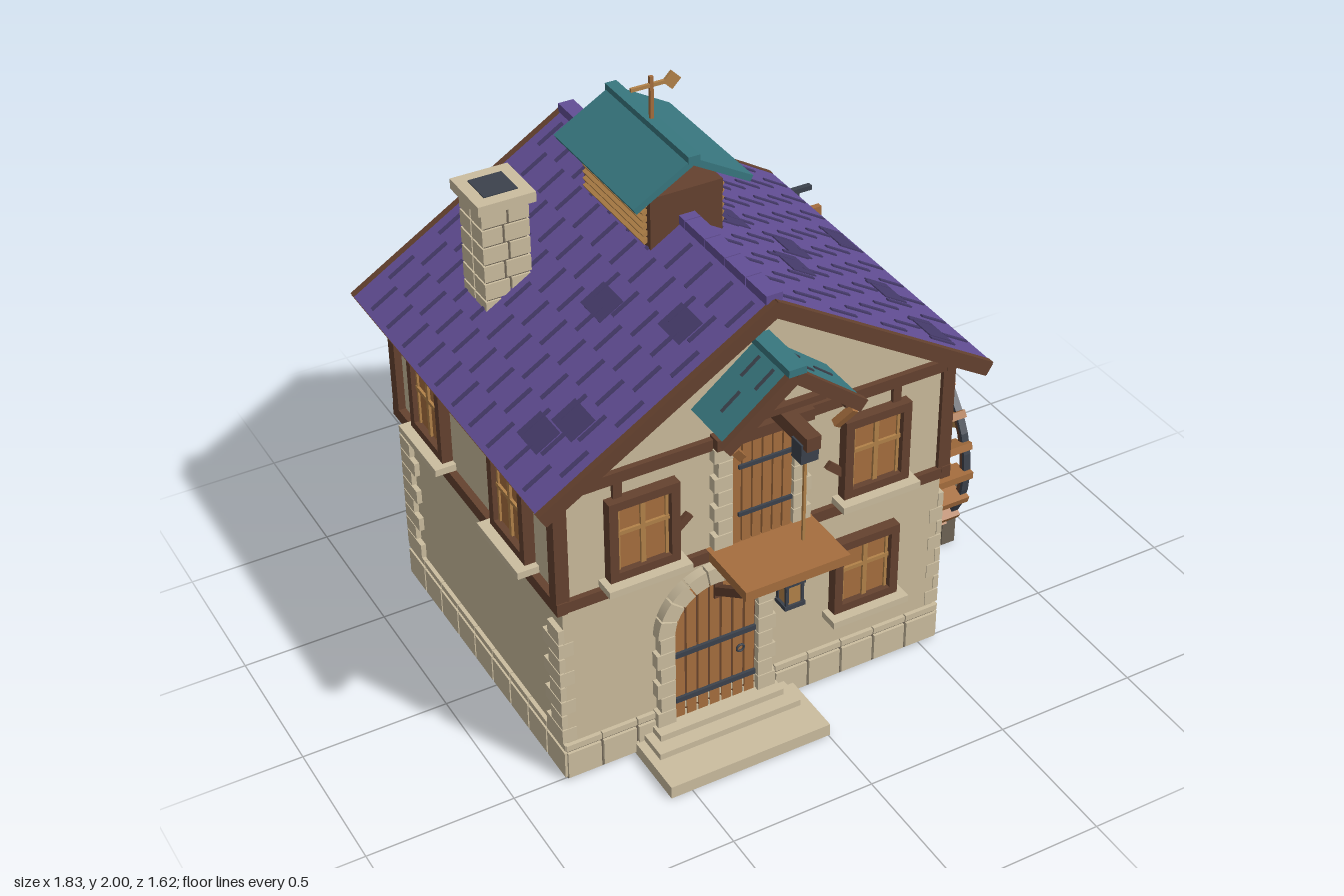
import * as THREE from 'three';

const mat = (name, color) => Object.assign(new THREE.MeshStandardMaterial({ color }), { name });
const M = {
  plaster: mat('plaster', 0xcabb9b), stone: mat('pale stone', 0xcbbd9f), dark: mat('dark timber', 0x65422f),
  wood: mat('brown wood', 0xa66e3e), gold: mat('golden wood', 0xb28249), roof: mat('purple shingle', 0x624e95),
  shade: mat('dark shingle', 0x463b6b), teal: mat('teal', 0x38777f), iron: mat('iron', 0x3c424c), grey: mat('grey stone', 0x6e6455),
};
const C = -0.127, ZC = -0.08, HW = 0.68, HD = 0.58, ZF = ZC + HD; // house centre and half sizes

function add(p, name, m, geo, x = 0, y = 0, z = 0) {
  const mesh = new THREE.Mesh(geo, m);
  mesh.name = name;
  mesh.position.set(x, y, z);
  p.add(mesh);
  return mesh;
}
const box = (p, name, m, w, h, d, x, y, z) => add(p, name, m, new THREE.BoxGeometry(w, h, d), x, y, z);
// box given by its limits
const span = (p, name, m, x0, x1, y0, y1, z0, z1) =>
  box(p, name, m, x1 - x0, y1 - y0, z1 - z0, (x0 + x1) / 2, (y0 + y1) / 2, (z0 + z1) / 2);
// square beam between two points
function beam(p, name, m, a, b, w, d = w) {
  const A = new THREE.Vector3(...a), B = new THREE.Vector3(...b);
  const mesh = box(p, name, m, w, A.distanceTo(B), d, ...A.clone().add(B).multiplyScalar(0.5).toArray());
  mesh.quaternion.setFromUnitVectors(new THREE.Vector3(0, 1, 0), B.sub(A).normalize());
  return mesh;
}
function group(p, name, x = 0, y = 0, z = 0, ry = 0) {
  const g = new THREE.Group();
  g.name = name;
  g.position.set(x, y, z);
  g.rotation.y = ry;
  p.add(g);
  return g;
}
const extrude = (s, depth) => new THREE.ExtrudeGeometry(s, { depth, bevelEnabled: false, curveSegments: 16 });
// ring or ring sector in the xy plane
function sector(r0, r1, a0, a1, depth) {
  const s = new THREE.Shape();
  s.absarc(0, 0, r1, a0, a1, false);
  s.absarc(0, 0, r0, a1, a0, true);
  return extrude(s, depth);
}

function windowUnit(p, x, y, z, ry, h = 0.295) {
  const g = group(p, 'window', x, y, z, ry), w = 0.24;
  box(g, 'pane', M.wood, w - 0.04, h - 0.04, 0.02, 0, 0, 0.005);
  for (const s of [-1, 1]) {
    box(g, 'frameSide', M.dark, 0.03, h, 0.045, s * (w / 2 - 0.015), 0, 0.015);
    box(g, 'frameRail', M.dark, w, 0.03, 0.045, 0, s * (h / 2 - 0.015), 0.015);
    box(g, 'sash', M.gold, 0.01, h - 0.06, 0.02, s * 0.082, 0, 0.012);
  }
  box(g, 'mullion', M.gold, 0.016, h - 0.06, 0.024, 0, 0, 0.012);
  box(g, 'transom', M.gold, w - 0.06, 0.014, 0.024, 0, 0.02, 0.012);
  box(g, 'sill', M.stone, 0.285, 0.025, 0.075, 0, -h / 2 - 0.0125, 0.035);
}

function walls(g) {
  const s = new THREE.Shape([[-HW, 0.05], [HW, 0.05], [HW, 1.14], [0, 1.56], [-HW, 1.14]].map(a => new THREE.Vector2(...a)));
  add(g, 'walls', M.plaster, extrude(s, HD * 2), C, 0, ZC - HD);
  // plinth with facing stones
  span(g, 'plinth', M.grey, C - HW - 0.006, C + HW + 0.006, 0, 0.135, ZC - HD - 0.006, ZF + 0.006);
  for (const ry of [0, 1, 2, 3]) {
    const [hw, hd] = ry % 2 ? [HD, HW] : [HW, HD], side = group(g, 'plinthSide', C, 0, ZC, ry * Math.PI / 2);
    const n = ry % 2 ? 9 : 11, w = 2 * (hw + 0.012) / n;
    for (let i = 0; i < n; i++) {
      const x = -hw - 0.012 + w * (i + 0.5);
      box(side, 'plinthStone', M.stone, w - 0.009, 0.1, 0.014, x, 0.06, hd + 0.009);
      box(side, 'plinthCap', M.stone, w - 0.004, 0.022, 0.014, x, 0.131, hd + 0.007);
    }
  }
  // corner stones on the two long sides
  for (const sx of [-1, 1]) for (const sz of [-1, 1]) for (let i = 0; i < 8; i++) {
    const d = i % 2 ? 0.075 : 0.11, w = i % 2 ? 0.02 : 0.05;
    box(g, 'cornerStone', M.stone, w, 0.052, d, C + sx * (HW + 0.018 - w / 2), 0.175 + i * 0.0575, ZC + sz * (HD + 0.003 - d / 2));
  }
}

function timber(g) {
  for (const sx of [-1, 1]) {
    for (const y of [0.7, 1.12]) box(g, 'sideBeam', M.dark, 0.035, 0.045, HD * 2 + 0.04, C + sx * (HW + 0.008), y, ZC);
    for (const sz of [-1, 1]) box(g, 'cornerPost', M.dark, 0.045, 0.44, 0.045, C + sx * (HW + 0.003), 0.91, ZC + sz * (HD - 0.007));
  }
  for (const sz of [-1, 1]) {
    const z = ZC + sz * (HD + 0.004);
    for (const y of [0.7, 1.12]) box(g, 'endBeam', M.dark, HW * 2 + 0.05, 0.04, 0.03, C, y, z);
    for (const sx of [-1, 1]) {
      box(g, 'stud', M.dark, 0.03, 0.4, 0.02, C + sx * (sz > 0 ? 0.49 : 0.42), 0.91, z);
      beam(g, 'brace', M.dark, [C + sx * (sz > 0 ? 0.31 : 0.38), sz > 0 ? 0.827 : 0.765, z], [C + sx * 0.245, 0.885, z], 0.028, 0.022);
    }
  }
}

function roof(g) {
  const A = 0.549, L = 0.92, D = 1.353;
  for (const s of [-1, 1]) {
    const r = group(g, 'roofSlope', C, 1.615, ZC);
    r.rotation.z = -s * A;
    box(r, 'shingles', M.roof, L, 0.03, D - 0.044, s * L / 2, -0.013, 0);
    box(r, 'roofDeck', M.dark, L, 0.012, D - 0.044, s * L / 2, -0.034, 0);
    for (const e of [-1, 1]) box(r, 'rakeBoard', M.dark, L, 0.05, 0.024, s * L / 2, -0.021, e * (D / 2 - 0.012));
    box(r, 'eaveBoard', M.dark, 0.02, 0.04, D, s * (L - 0.008), -0.022, 0);
    // staggered joints between shingles
    for (let i = 0; i < 8; i++) for (let k = 0; k < 11; k++) {
      const z = -0.6 + k * 0.121 + (i % 2) * 0.0605;
      if (z < 0.64) box(r, 'shingleJoint', M.shade, 0.106, 0.012, 0.014, s * (0.1 + i * 0.107), 0.001, z);
    }
    // odd darker shingles
    const spots = s > 0 ? [[0.27, 0], [0.45, 0.12], [0.35, 0.28], [0.75, 0.28], [0.75, 0.53], [0.85, -0.13]]
      : [[0.36, 0.17], [0.24, 0.47], [0.66, 0.47], [0.76, 0.41]];
    for (const [u, z] of spots) box(r, 'darkShingle', M.shade, 0.095, 0.01, 0.125, s * u, 0.001, z);
    for (const z of [0.365, ZC, -0.525])
      beam(g, 'eaveBracket', M.wood, [C + s * 0.71, 1.05, z], [C + s * 0.765, 1.125, z], 0.025);
  }
  for (let i = 0; i < 11; i++)
    box(g, 'ridgeTile', M.roof, 0.055, 0.03, 0.116, C, 1.62, ZC - 0.6 + i * 0.12);
}

function chimney(g) {
  const c = group(g, 'chimney', -0.59, 0, -0.315);
  span(c, 'stack', M.grey, -0.073, 0.073, 1.18, 1.64, -0.073, 0.073);
  for (let i = 0; i < 7; i++) for (const s of [-1, 1]) {
    const w = 0.076 + s * (i % 2 ? 0.008 : -0.008);
    for (const e of [-1, 1])
      box(c, 'chimneyStone', M.stone, w, 0.056, 0.076, s * (0.08 - w / 2), 1.225 + i * 0.064, e * 0.042);
  }
  box(c, 'cap', M.stone, 0.195, 0.035, 0.2, 0, 1.657, 0);
  box(c, 'flue', M.iron, 0.115, 0.008, 0.115, 0, 1.674, 0);
}

// simple two-slope roof with its ridge along z
function smallRoof(p, name, m, x, y, z, run, drop, t, depth) {
  const g = group(p, name, x, y, z), len = Math.hypot(run, drop);
  for (const s of [-1, 1])
    box(g, 'slope', m, len, t, depth, s * run / 2, -drop / 2, 0).rotation.z = -s * Math.atan2(drop, run);
}

function cupola(g) {
  const c = group(g, 'cupola', C, 0, -0.152);
  box(c, 'louverBox', M.dark, 0.25, 0.22, 0.43, 0, 1.61, 0);
  for (const s of [-1, 1]) for (let i = 0; i < 6; i++)
    box(c, 'louver', M.gold, 0.026, 0.014, 0.39, s * 0.128, 1.565 + i * 0.025, 0).rotation.z = -s * 0.5;
  smallRoof(c, 'cupolaRoof', M.teal, 0, 1.835, 0, 0.2, 0.115, 0.022, 0.52);
  box(c, 'cupolaRidge', M.teal, 0.04, 0.025, 0.53, 0, 1.845, 0);
  // weathervane
  box(c, 'vanePole', M.wood, 0.012, 0.16, 0.012, 0, 1.92, 0);
  box(c, 'vaneArm', M.gold, 0.14, 0.012, 0.01, 0, 1.97, 0);
  box(c, 'vaneHead', M.gold, 0.044, 0.044, 0.01, 0.07, 1.97, 0).rotation.z = Math.PI / 4;
}

function frontDoor(g) {
  const d = group(g, 'frontDoor', -0.29, 0, ZF), spring = 0.45, R = 0.15;
  for (let i = 0; i < 7; i++) {
    const x = (i - 3) * 0.042, top = spring + Math.sqrt(0.158 ** 2 - x * x);
    span(d, 'plank', M.wood, x - 0.017, x + 0.017, 0.09, top, 0, 0.018);
  }
  const s = new THREE.Shape();
  s.moveTo(-R, 0.09); s.lineTo(R, 0.09); s.lineTo(R, spring);
  s.absarc(0, spring, R, 0, Math.PI, false);
  add(d, 'doorBacking', M.dark, extrude(s, 0.01));
  for (const y of [0.17, 0.355]) box(d, 'strapHinge', M.iron, 0.29, 0.018, 0.012, 0, y, 0.022);
  add(d, 'doorRing', M.iron, new THREE.TorusGeometry(0.013, 0.004, 6, 12), 0.09, 0.29, 0.024);
  // stone surround
  for (let i = 0; i < 9; i++) {
    const a = Math.PI / 9;
    add(d, 'archStone', M.stone, sector(R, 0.21, i * a + 0.015, (i + 1) * a - 0.015, 0.035), 0, spring, 0);
  }
  for (const k of [-1, 1]) for (let i = 0; i < 6; i++) {
    const w = i % 2 ? 0.052 : 0.064;
    box(d, 'jambStone', M.stone, w, 0.056, 0.035, k * (R + w / 2), 0.12 + i * 0.06, 0.017);
  }
  // steps
  span(g, 'stepLow', M.stone, -0.575, 0.005, 0, 0.045, 0.48, 0.745);
  span(g, 'stepMiddle', M.stone, -0.545, -0.03, 0.04, 0.068, 0.48, 0.62);
  span(g, 'stepTop', M.stone, -0.515, -0.065, 0.06, 0.092, 0.48, 0.57);
  // lantern
  const l = group(g, 'lantern', -0.035, 0.48, 0.55);
  box(l, 'glass', M.gold, 0.056, 0.08, 0.05, 0, 0, 0);
  for (const y of [-0.045, 0.045]) box(l, 'lanternPlate', M.iron, 0.075, 0.016, 0.065, 0, y, 0);
  for (const x of [-1, 1]) for (const z of [-1, 1]) box(l, 'lanternBar', M.iron, 0.01, 0.09, 0.01, x * 0.028, 0, z * 0.025);
  box(l, 'lanternHook', M.iron, 0.012, 0.03, 0.012, 0, 0.06, 0);
  box(l, 'lanternArm', M.iron, 0.012, 0.012, 0.06, 0, 0.075, -0.025);
}

function loft(g) {
  const d = group(g, 'loftDoor', C, 0, ZF);
  span(d, 'doorBacking', M.dark, -0.11, 0.11, 0.72, 1.12, 0, 0.012);
  for (let i = 0; i < 6; i++) box(d, 'plank', M.wood, 0.03, 0.39, 0.02, (i - 2.5) * 0.036, 0.915, 0.012);
  for (const y of [0.83, 1.01]) box(d, 'strapHinge', M.iron, 0.19, 0.014, 0.01, 0.01, y, 0.025);
  box(d, 'lintel', M.dark, 0.34, 0.04, 0.05, 0, 1.13, 0.02);
  for (const s of [-1, 1]) {
    for (let i = 0; i < 7; i++) {
      const w = i % 2 ? 0.05 : 0.064;
      box(d, 'jambStone', M.stone, w, 0.051, 0.035, s * (0.108 + w / 2), 0.752 + i * 0.055, 0.015);
    }
    // landing brackets
    box(d, 'bracketPost', M.dark, 0.03, 0.16, 0.025, s * 0.152, 0.61, 0.012);
    beam(d, 'bracket', M.dark, [s * 0.152, 0.55, 0.01], [s * 0.152, 0.675, 0.2], 0.028);
  }
  span(d, 'landing', M.wood, -0.185, 0.185, 0.685, 0.72, 0, 0.245);
  // hoist canopy
  smallRoof(d, 'canopyRoof', M.teal, 0, 1.435, 0.095, 0.228, 0.18, 0.02, 0.19);
  smallRoof(d, 'canopyRafters', M.dark, 0, 1.425, 0.2, 0.235, 0.185, 0.042, 0.025);
  for (const s of [-1, 1]) {
    box(d, 'canopyPlate', M.dark, 0.03, 0.03, 0.19, s * 0.2, 1.25, 0.095);
    beam(d, 'canopyBrace', M.wood, [s * 0.163, 1.175, 0.17], [s * 0.207, 1.235, 0.2], 0.025);
    for (const [u, e] of [[0.06, 0.06], [0.06, 0.14], [0.15, 0.1]])
      box(d, 'slateJoint', M.iron, 0.08, 0.008, 0.01, s * (u + 0.007), 1.443 - u * 0.79, e).rotation.z = -s * 0.668;
  }
  box(d, 'canopyRidge', M.teal, 0.06, 0.025, 0.215, 0, 1.445, 0.107);
  box(d, 'canopyTie', M.dark, 0.24, 0.022, 0.025, 0, 1.3, 0.17);
  span(d, 'hoistBeam', M.dark, -0.024, 0.024, 1.225, 1.272, 0, 0.31);
  box(d, 'pulley', M.iron, 0.06, 0.07, 0.055, 0, 1.205, 0.262);
  box(d, 'rope', M.gold, 0.009, 0.31, 0.009, 0, 1.02, 0.263);
}

function backWindow(g) {
  const w = group(g, 'roundWindow', C, 1.34, ZC - HD, Math.PI);
  add(w, 'pane', M.teal, extrude(new THREE.Shape().absarc(0, 0, 0.1, 0, Math.PI * 2, false), 0.012));
  for (let i = 0; i < 12; i++) add(w, 'ringStone', M.stone, sector(0.092, 0.13, i * Math.PI / 6 + 0.03, (i + 1) * Math.PI / 6 - 0.03, 0.03));
  box(w, 'mullion', M.wood, 0.018, 0.19, 0.02, 0, 0, 0.01);
  box(w, 'transom', M.wood, 0.19, 0.018, 0.02, 0, 0, 0.01);
}

function waterWheel(g) {
  const w = group(g, 'waterWheel', 0.745, 0.412, -0.13, Math.PI / 2); // local z runs along x
  const turn = Math.PI * 1.9999;
  for (const s of [-1, 1]) {
    const z = s * 0.1;
    add(w, 'rim', M.dark, sector(0.356, 0.376, 0, turn, 0.022), 0, 0, z - 0.011);
    add(w, 'ironHoop', M.iron, sector(0.374, 0.386, 0, turn, 0.026), 0, 0, z - 0.013);
    for (let i = 0; i < 10; i++) {
      const a = i * Math.PI / 5 + 0.15;
      beam(w, 'spoke', M.gold, [Math.cos(a) * 0.03, Math.sin(a) * 0.03, z], [Math.cos(a) * 0.36, Math.sin(a) * 0.36, z], 0.024, 0.018);
    }
  }
  for (let i = 0; i < 22; i++) {
    const a = i * Math.PI / 11;
    box(w, 'paddle', M.wood, 0.075, 0.022, 0.19, Math.cos(a) * 0.365, Math.sin(a) * 0.365, 0).rotation.z = a;
    box(w, 'paddleTab', M.wood, 0.032, 0.026, 0.225, Math.cos(a) * 0.387, Math.sin(a) * 0.387, 0).rotation.z = a;
  }
  add(w, 'axle', M.dark, new THREE.CylinderGeometry(0.028, 0.028, 0.37, 10), 0, 0, -0.01).rotation.x = Math.PI / 2;
  box(w, 'hub', M.iron, 0.105, 0.105, 0.035, 0, 0, 0.128).rotation.z = Math.PI / 4;
  box(w, 'axleEnd', M.dark, 0.05, 0.05, 0.05, 0, 0, 0.145);
  // piers and struts
  for (const s of [-1, 1]) {
    span(g, 'pier', M.grey, 0.858, 0.912, 0, 0.25, -0.13 + s * 0.185 - 0.062, -0.13 + s * 0.185 + 0.062);
    beam(g, 'pierStrut', M.dark, [0.88, 0.24, -0.13 + s * 0.17], [0.88, 0.4, -0.13 + s * 0.02], 0.03);
  }
}

function flume(g) {
  span(g, 'flumeFloor', M.wood, 0.64, 0.855, 0.77, 0.79, -0.81, -0.18);
  for (const x of [0.637, 0.853]) {
    box(g, 'flumeSide', M.dark, 0.022, 0.1, 0.63, x, 0.82, -0.495);
    for (const z of [-0.4, -0.75]) box(g, 'flumePost', M.dark, 0.034, 0.79, 0.04, x, 0.395, z);
  }
  for (const z of [-0.4, -0.75]) {
    box(g, 'crossBeam', M.dark, 0.23, 0.035, 0.035, 0.745, 0.755, z);
    beam(g, 'postBrace', M.gold, [0.65, 0.2, z], [0.84, 0.7, z], 0.02);
  }
  box(g, 'sluiceGate', M.wood, 0.2, 0.18, 0.022, 0.745, 0.875, -0.715);
  box(g, 'gateStem', M.iron, 0.016, 0.1, 0.016, 0.745, 1.005, -0.715);
  box(g, 'gateHandle', M.iron, 0.115, 0.018, 0.02, 0.745, 1.053, -0.715);
}

export function createModel() {
  const g = new THREE.Group();
  g.name = 'watermill';
  [walls, timber, roof, chimney, cupola, frontDoor, loft, backWindow, waterWheel, flume].forEach(f => f(group(g, f.name)));
  const win = group(g, 'windows');
  for (const x of [C - 0.412, C + 0.412]) windowUnit(win, x, 0.895, ZF, 0);
  windowUnit(win, 0.262, 0.43, ZF, 0, 0.28);
  for (const s of [-1, 1]) for (const z of [0.21, -0.38]) windowUnit(win, C + s * HW, 0.895, z, s * Math.PI / 2);
  return g;
}
